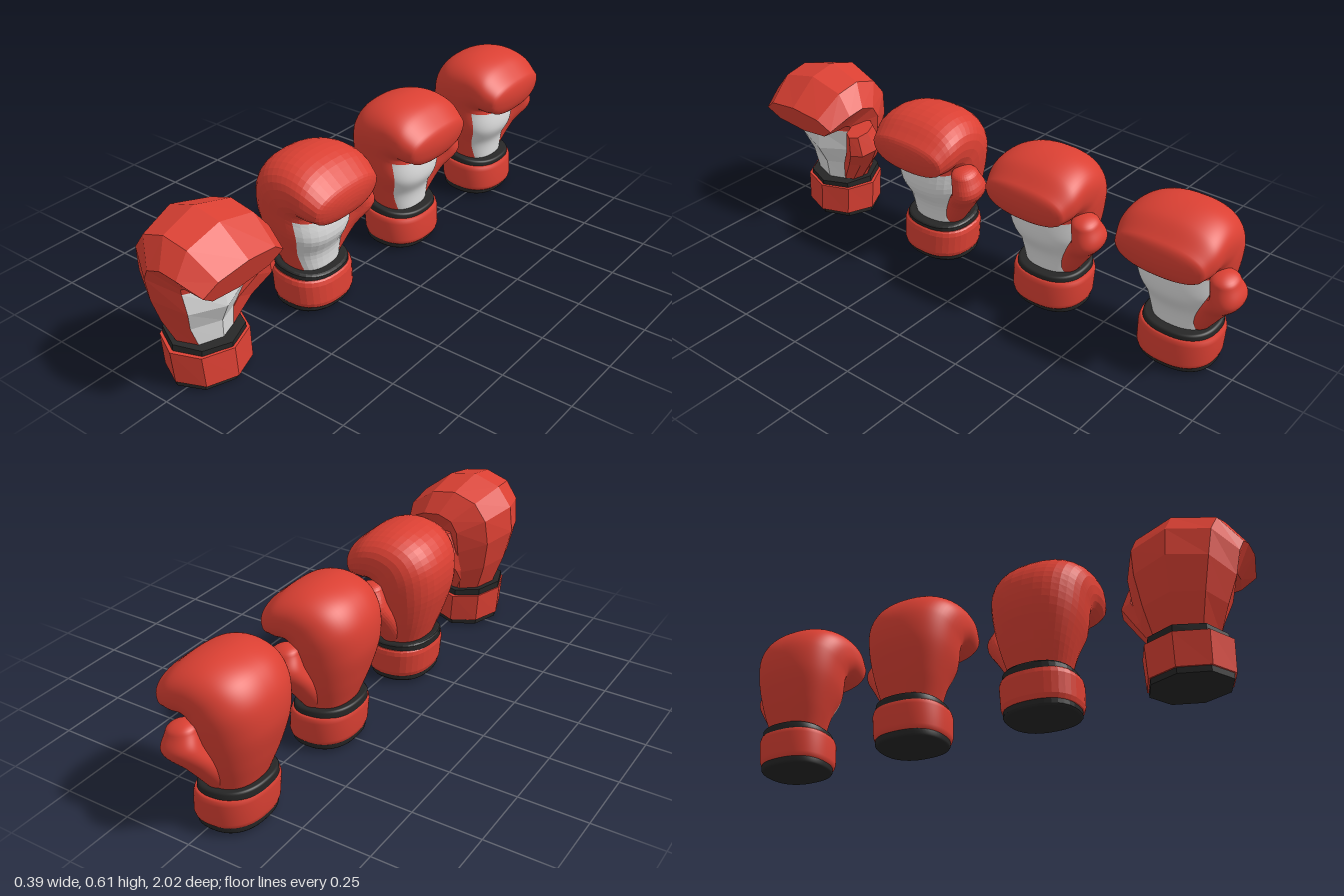
import * as THREE from 'three';

const red = new THREE.MeshStandardMaterial({ color: 0xdb4033 });
red.name = 'red leather';
const white = new THREE.MeshStandardMaterial({ color: 0xdcdcdc });
white.name = 'white palm';
const black = new THREE.MeshStandardMaterial({ color: 0x262626 });
black.name = 'black trim';

// Station: [outer x, outer y, inner x, inner y, half width, centre z]
const BODY = [
  [-0.13, 0.165, 0.05, 0.14, 0.115, 0],
  [-0.17, 0.28, 0.055, 0.215, 0.15, 0.005],
  [-0.197, 0.40, 0.088, 0.285, 0.18, 0.01],
  [-0.183, 0.50, 0.08, 0.36, 0.195, 0.012],
  [-0.126, 0.572, 0.075, 0.376, 0.2, 0.015],
  [-0.022, 0.605, 0.08, 0.38, 0.2, 0.015],
  [0.083, 0.585, 0.105, 0.38, 0.198, 0.015],
  [0.194, 0.495, 0.152, 0.385, 0.172, 0.015],
];
const SOFT_TIP = [0.155, 0.53, 0.128, 0.385, 0.18, 0.015];
const THUMB = [
  [-0.07, 0.155, 0.03, 0.15, 0.045, -0.065],
  [-0.07, 0.26, 0.06, 0.245, 0.058, -0.125],
  [-0.05, 0.345, 0.10, 0.315, 0.06, -0.178],
  [-0.02, 0.42, 0.095, 0.39, 0.042, -0.172],
];
const SOFT_THUMB_TIP = [-0.02, 0.395, 0.082, 0.38, 0.046, -0.165];

const mix = (a, b, t) => a.map((v, i) => v + (b[i] - v) * t);

// Scale a station about its own centre
function resize([ox, oy, ix, iy, w, z], s) {
  const cx = (ox + ix) / 2, cy = (oy + iy) / 2;
  return [cx + (ox - cx) * s, cy + (oy - cy) * s, cx + (ix - cx) * s, cy + (iy - cy) * s, w * s, z];
}

// Interpolate stations smoothly and close the end with a dome
function soften(rows, steps, dome) {
  const a = new THREE.CatmullRomCurve3(rows.map(r => new THREE.Vector3(r[0], r[1], r[4])), false, 'centripetal');
  const b = new THREE.CatmullRomCurve3(rows.map(r => new THREE.Vector3(r[2], r[3], r[5])), false, 'centripetal');
  const out = [];
  const count = (rows.length - 1) * steps;
  for (let i = 0; i <= count; i++) {
    const p = a.getPoint(i / count), q = b.getPoint(i / count);
    out.push([p.x, p.y, q.x, q.y, p.z, q.z]);
  }
  const e = out[count], f = out[count - 1];
  const d = new THREE.Vector3((e[0] + e[2] - f[0] - f[2]) / 2, (e[1] + e[3] - f[1] - f[3]) / 2, e[5] - f[5]).normalize();
  for (let k = 1; k < 8; k++) {
    const t = (k / 8) * Math.PI / 2, m = dome * Math.sin(t);
    const r = resize(e, Math.cos(t));
    out.push([r[0] + d.x * m, r[1] + d.y * m, r[2] + d.x * m, r[3] + d.y * m, r[4], r[5] + d.z * m]);
  }
  return out;
}

// Skin the stations; isSecond(row, ringFraction) picks the second material
function loft(rows, sides, power, flat, isSecond = () => false) {
  const pos = [], first = [], second = [];
  const curve = v => Math.sign(v) * Math.pow(Math.abs(v), power);
  for (const [ox, oy, ix, iy, w, z] of rows) {
    for (let j = 0; j < sides; j++) {
      const a = (j / sides) * Math.PI * 2;
      const c = curve(Math.cos(a)), s = curve(Math.sin(a));
      pos.push((ox + ix) / 2 + (ox - ix) / 2 * c, (oy + iy) / 2 + (oy - iy) / 2 * c, z + w * s);
    }
  }
  const last = rows.length - 1, base = rows.length * sides;
  for (const r of [rows[0], rows[last]]) pos.push((r[0] + r[2]) / 2, (r[1] + r[3]) / 2, r[5]);
  for (let j = 0; j < sides; j++) {
    const n = (j + 1) % sides;
    for (let i = 0; i < last; i++) {
      const A = i * sides + j, B = i * sides + n;
      (isSecond(i, (j + 0.5) / sides) ? second : first).push(A, B, A + sides, B, B + sides, A + sides);
    }
    first.push(base, n, j, base + 1, last * sides + j, last * sides + n);
  }
  let g = new THREE.BufferGeometry();
  g.setAttribute('position', new THREE.Float32BufferAttribute(pos, 3));
  g.setIndex([...first, ...second]);
  g.addGroup(0, first.length, 0);
  if (second.length) g.addGroup(first.length, second.length, 1);
  if (flat) g = g.toNonIndexed();
  g.computeVertexNormals();
  return g;
}

function createGlove(steps, sides, flat) {
  const glove = new THREE.Group();
  const low = steps === 1;
  const power = low ? 1 : 0.84;
  const add = (name, geometry, ...materials) => {
    const mesh = new THREE.Mesh(geometry, materials.length > 1 ? materials : materials[0]);
    mesh.name = name;
    glove.add(mesh);
  };
  const shrink = r => low ? r : [r[0] * 0.95, 0.16 + (r[1] - 0.16) * 0.965, r[2] * 0.95,
    0.16 + (r[3] - 0.16) * 0.99, r[4] * 0.9, r[5]];

  // Fist with the white palm on its inner side
  let body = BODY.map(shrink);
  if (!low) body = soften([...body.slice(0, -1), shrink(SOFT_TIP)], steps, 0.035);
  add('fistAndPalm', loft(body, sides, power, flat,
    (i, f) => i < 3 * steps && Math.abs(f - 0.5) < (low ? 0.126 : 0.145)), red, white);

  // Thumb
  let thumb = THUMB;
  if (!low) thumb = soften([...THUMB.slice(0, -1).map(r => resize(r, 0.9)), SOFT_THUMB_TIP], steps, 0.028);
  add('thumb', loft(thumb, sides, low ? 1 : 0.92, flat), red);

  // Cuff and its black rims
  const rim = low ? [[0, 1], [1, 1]] : [[0, 0.93], [0.05, 0.97], [0.18, 1], [0.82, 1], [0.95, 0.97], [1, 0.93]];
  const band = (name, a, b, material) => {
    const rows = rim.map(([t, s]) => {
      const r = resize(mix(a, b, t), low ? s : s * 0.94);
      if (!low) { r[1] += 0.003; r[3] += 0.003; }
      return r;
    });
    add(name, loft(rows, sides, power, flat), material);
  };
  band('baseRim', [-0.148, 0.01, 0.092, 0, 0.142, 0], [-0.15, 0.05, 0.092, 0.04, 0.142, 0], black);
  band('cuff', [-0.155, 0.03, 0.106, 0.02, 0.15, 0], [-0.163, 0.147, 0.097, 0.125, 0.155, 0], red);
  band('wristRim', [-0.158, 0.13, 0.088, 0.11, 0.143, 0], [-0.158, 0.172, 0.088, 0.143, 0.138, 0], black);
  return glove;
}

export function createModel() {
  const model = new THREE.Group();
  model.name = 'boxingGloves';
  // Four gloves in a row, from faceted to smooth
  const kinds = [[1, 8, true], [4, 32, true], [8, 64, false], [8, 96, false]];
  kinds.forEach(([steps, sides, flat], i) => {
    const glove = createGlove(steps, sides, flat);
    glove.name = 'glove' + (i + 1);
    glove.position.z = 0.785 - i * 0.523;
    model.add(glove);
  });
  return model;
}
